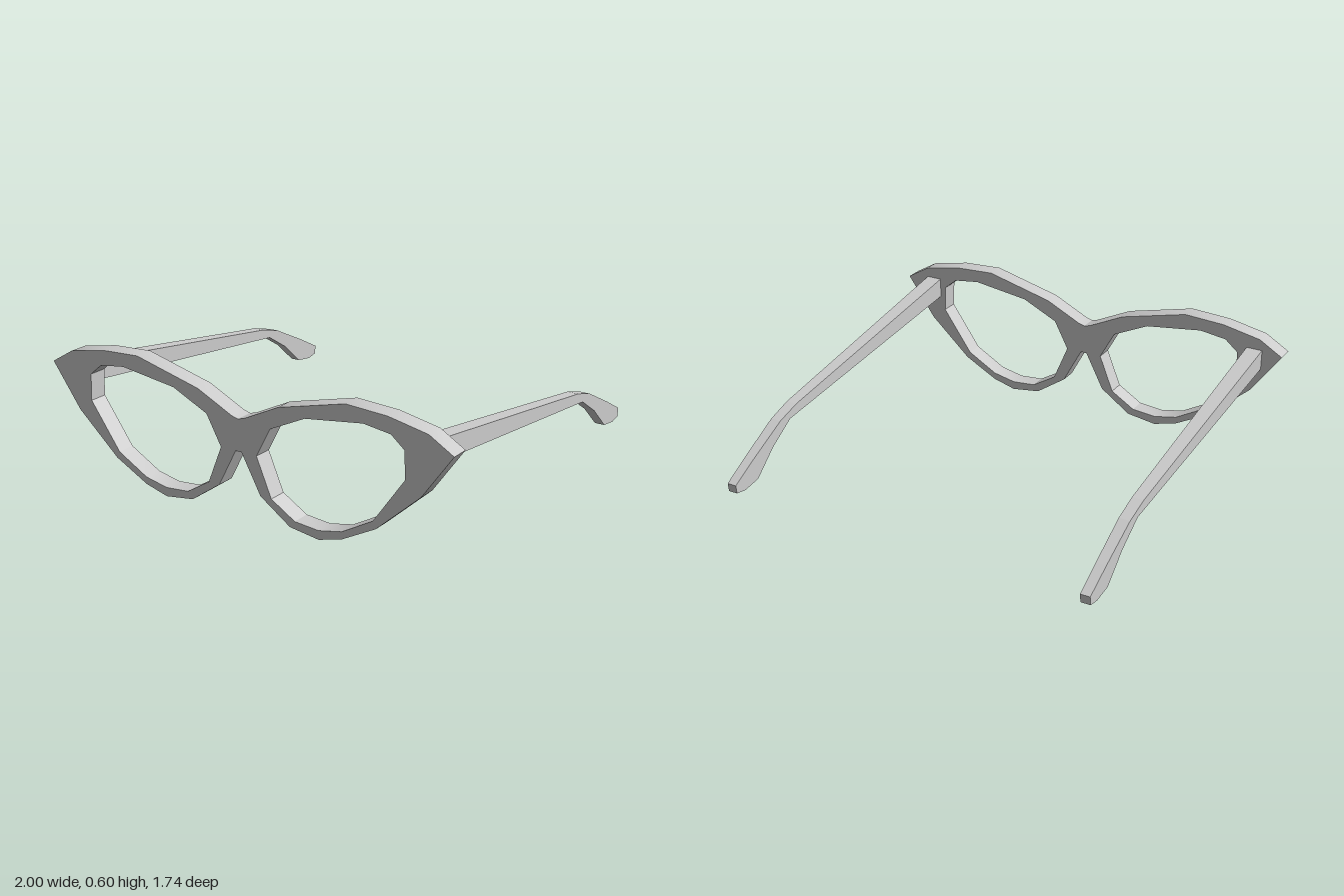
import * as THREE from 'three';
import { toCreasedNormals } from 'three/addons/utils/BufferGeometryUtils.js';

const material = new THREE.MeshStandardMaterial({ color: 0xcccccc });
const points = (list) => list.map(([x, y]) => new THREE.Vector2(x, y));
const mirror = (list) => list.map(([x, y]) => [-x, y]).reverse();

// One half of the cat-eye outline, counter-clockwise from the underside of the bridge to its top
const outline = [
  [0.015, 0.29], [0.105, 0.12], [0.25, 0.02], [0.39, 0], [0.5, 0.03], [0.66, 0.115], [0.86, 0.295],
  [1, 0.49], [0.89, 0.555], [0.71, 0.59], [0.52, 0.6], [0.2, 0.52], [0.03, 0.438],
];
const bridgeTop = [0, 0.43];
const lensHole = [
  [0.16, 0.42], [0.33, 0.5], [0.6, 0.537], [0.725, 0.52], [0.785, 0.47], [0.79, 0.35],
  [0.645, 0.145], [0.5, 0.063], [0.39, 0.04], [0.275, 0.05], [0.16, 0.12], [0.09, 0.29],
];

// Temple arm in side view, as [z, y]
const armProfile = [
  [0.79, 0.51], [-0.42, 0.325], [-0.54, 0.29], [-0.74, 0.19], [-0.87, 0.12], [-0.865, 0.08],
  [-0.81, 0.07], [-0.72, 0.083], [-0.6, 0.19], [-0.47, 0.272], [0.79, 0.417],
];

// Front frame with two lens openings
function createFrame() {
  const shape = new THREE.Shape(points([...outline, bridgeTop, ...mirror(outline)]));
  for (const hole of [lensHole, mirror(lensHole)]) shape.holes.push(new THREE.Path(points(hole)));
  const geometry = new THREE.ExtrudeGeometry(shape, { depth: 0.083, bevelEnabled: false });
  geometry.translate(0, 0, 0.787);
  const frame = new THREE.Mesh(toCreasedNormals(geometry, 0.4), material);
  frame.name = 'frontFrame';
  return frame;
}

// Temple arm, narrowing towards the ear tip
function createArm(name, x, y) {
  const shape = new THREE.Shape(points(armProfile));
  const geometry = new THREE.ExtrudeGeometry(shape, { depth: 1, bevelEnabled: false });
  geometry.rotateY(-Math.PI / 2).translate(0.5, 0, 0);
  const position = geometry.attributes.position;
  for (let i = 0; i < position.count; i++) {
    const t = (position.getZ(i) + 0.87) / 1.66;
    position.setX(i, position.getX(i) * THREE.MathUtils.lerp(0.044, 0.075, t));
  }
  geometry.computeVertexNormals();
  const arm = new THREE.Mesh(geometry, material);
  arm.name = name;
  arm.position.set(x, y, 0);
  return arm;
}

export function createModel() {
  const glasses = new THREE.Group();
  glasses.name = 'glasses';
  glasses.add(
    createFrame(),
    createArm('leftTemple', 0.852, 0),
    createArm('rightTemple', -0.867, -0.006),
  );
  return glasses;
}
